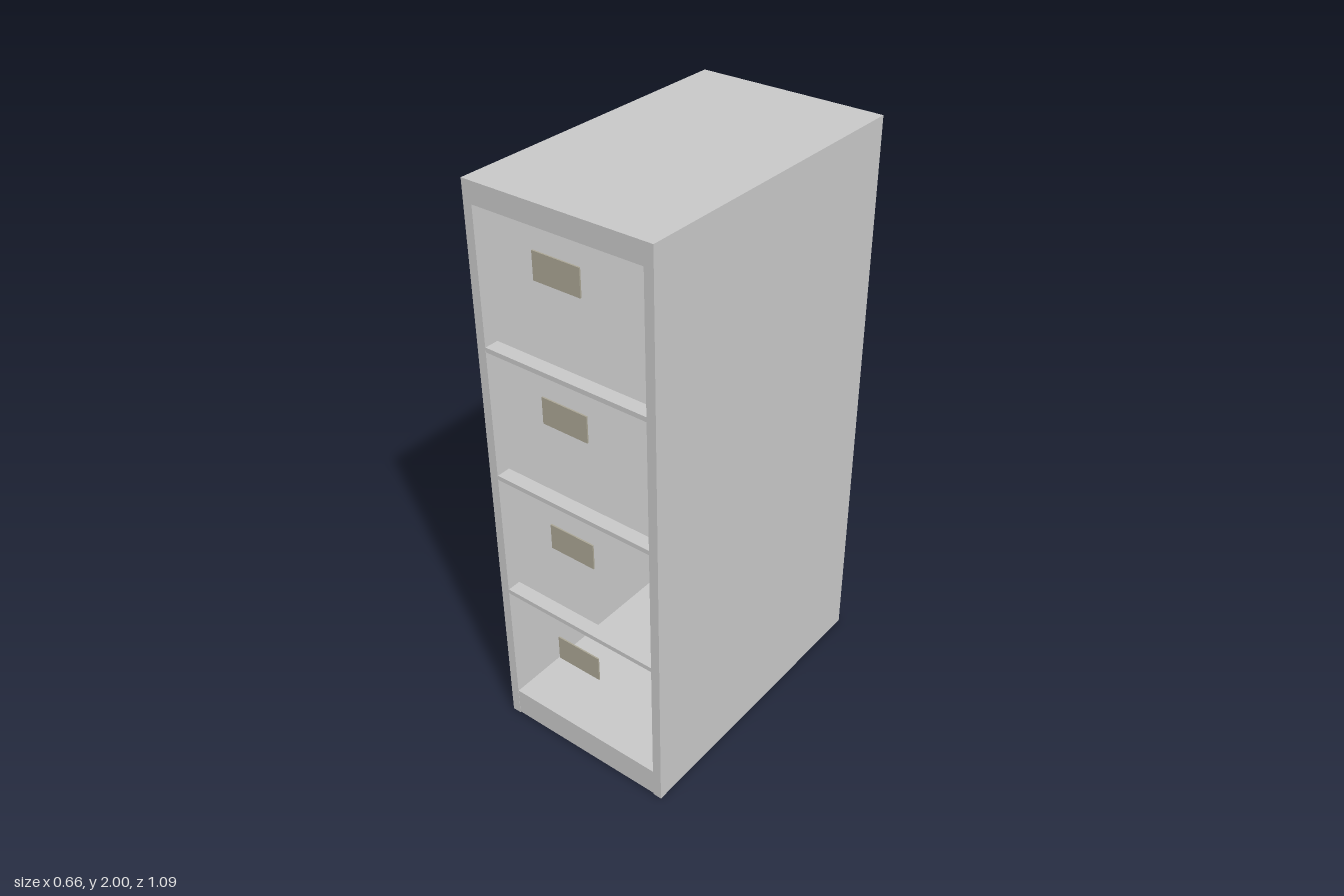
import * as THREE from 'three';

export function createModel() {
  const cabinet = new THREE.Group();
  cabinet.name = 'filingCabinet';

  const greySteel = new THREE.MeshStandardMaterial({ color: 0xc8c8c8 });
  greySteel.name = 'greySteel';
  const labelBeige = new THREE.MeshStandardMaterial({ color: 0xaaa594 });
  labelBeige.name = 'labelBeige';

  // Box given by its extents on each axis
  function box(name, [x0, x1], [y0, y1], [z0, z1], material = greySteel) {
    const mesh = new THREE.Mesh(new THREE.BoxGeometry(x1 - x0, y1 - y0, z1 - z0), material);
    mesh.position.set((x0 + x1) / 2, (y0 + y1) / 2, (z0 + z1) / 2);
    mesh.name = name;
    cabinet.add(mesh);
  }

  const halfW = 0.331, inner = 0.299, halfD = 0.545, topY = 1.93;

  // Carcass: open at the front, with a slightly recessed back
  box('topSlab', [-halfW, halfW], [topY, 2], [-halfD, halfD]);
  box('leftSide', [inner, halfW], [0, topY], [-halfD, halfD]);
  box('rightSide', [-halfW, -inner], [0, topY], [-halfD, halfD]);
  box('backPanel', [-inner, inner], [0.004, topY], [-halfD + 0.008, -halfD + 0.03]);
  box('plinth', [-inner, inner], [0.004, 0.105], [-halfD + 0.03, halfD - 0.001]);

  // Narrow rails dividing the drawer bays
  for (const y of [0.55, 1.01, 1.467]) {
    box('drawerRail', [-inner, inner], [y, y + 0.016], [halfD - 0.05, halfD - 0.001]);
  }

  // One label plate at the front of every bay
  for (const y of [0.435, 0.895, 1.354, 1.815]) {
    box('labelPlate', [-0.084, 0.084], [y - 0.045, y + 0.045], [halfD - 0.003, halfD + 0.002], labelBeige);
  }

  return cabinet;
}
